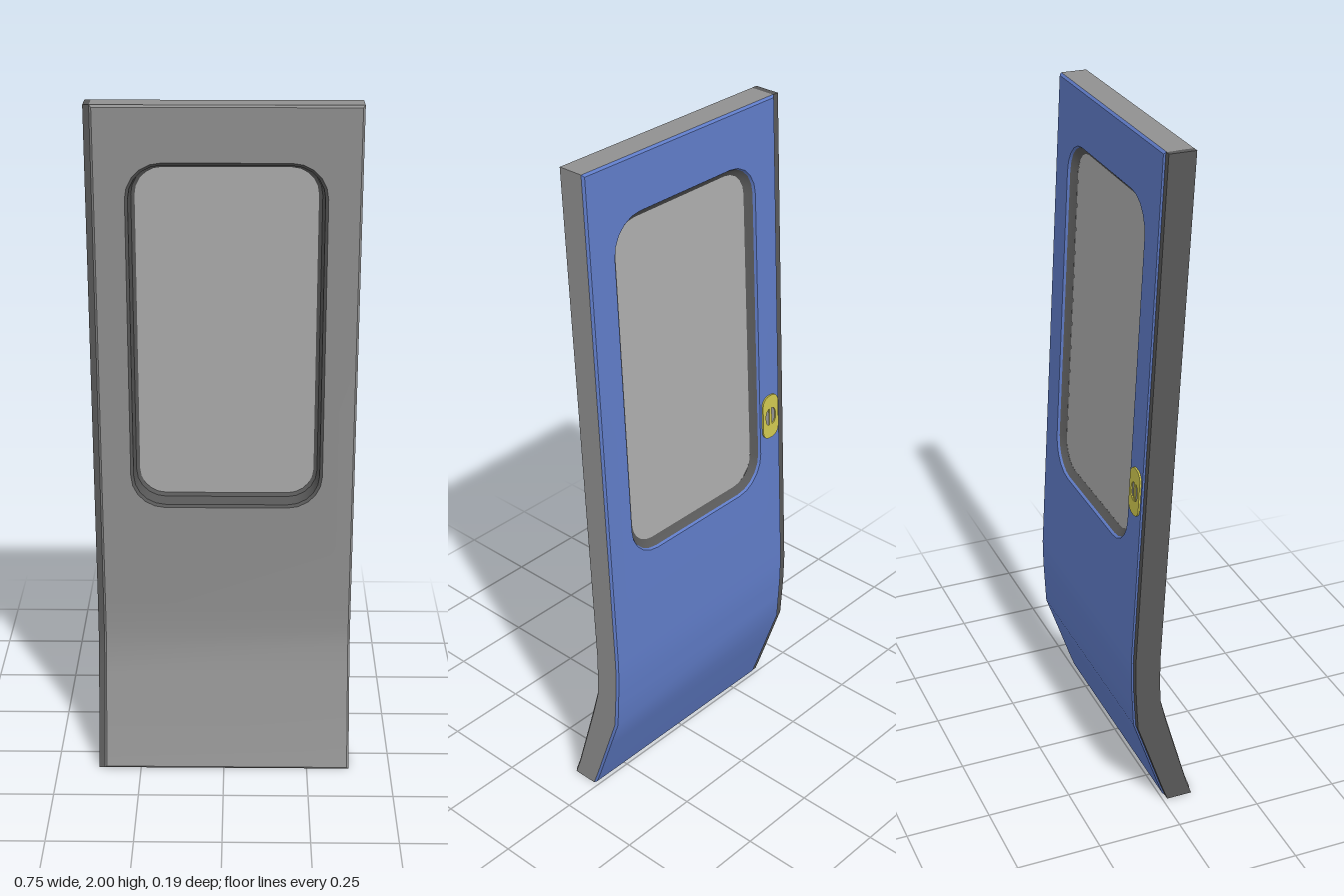
import * as THREE from 'three';
import { mergeGeometries, toCreasedNormals } from 'three/addons/utils/BufferGeometryUtils.js';

// Side profile as [y, back z, front z]; straight above y = 0.5
const PROFILE = [
  [0, 0.01, 0.098], [0.05, -0.008, 0.08], [0.18, -0.052, 0.043], [0.28, -0.086, 0.015],
  [0.36, -0.09, -0.006], [0.42, -0.093, -0.008], [0.5, -0.094, -0.008], [2, -0.014, 0.073],
];
const BEND = 0.5, TOP = 2, X0 = -0.36, X1 = 0.377, BEVEL = 0.006;
const WIN = { x: 0.007, y: 1.33, w: 0.554, h: 1.026, r: 0.1 };

// z on the bent door at height y; t = 0 is the back face, t = 1 the front face
function zAt(y, t) {
  let i = 0;
  while (i < PROFILE.length - 2 && y > PROFILE[i + 1][0]) i++;
  const a = PROFILE[i], b = PROFILE[i + 1], k = (y - a[0]) / (b[0] - a[0]);
  const back = a[1] + (b[1] - a[1]) * k, front = a[2] + (b[2] - a[2]) * k;
  return back + (front - back) * t;
}

// Counter-clockwise rounded rectangle points
function roundRect(cx, cy, w, h, r, seg = 5) {
  const pts = [];
  [[1, -1], [1, 1], [-1, 1], [-1, -1]].forEach(([sx, sy], q) => {
    for (let i = 0; i <= seg; i++) {
      const a = (q - 1 + i / seg) * Math.PI / 2;
      pts.push(new THREE.Vector2(cx + sx * (w / 2 - r) + r * Math.cos(a), cy + sy * (h / 2 - r) + r * Math.sin(a)));
    }
  });
  return pts;
}

const windowLoop = (inset) => roundRect(WIN.x, WIN.y, WIN.w - 2 * inset, WIN.h - 2 * inset, WIN.r - inset);

// Outer edge of the door, with points at every bend of the profile
function doorLoop(inset) {
  const ys = PROFILE.map((p) => Math.min(Math.max(p[0], inset), TOP - inset));
  return [
    ...ys.map((y) => new THREE.Vector2(X1 - inset, y)),
    ...ys.reverse().map((y) => new THREE.Vector2(X0 + inset, y)),
  ];
}

// Surface between successive rows of [points, t]
function loft(rows, closed = true) {
  const pos = [], idx = [], n = rows[0][0].length;
  for (const [pts, t] of rows) for (const p of pts) pos.push(p.x, p.y, zAt(p.y, t));
  for (let r = 0; r < rows.length - 1; r++) {
    for (let i = 0; i < (closed ? n : n - 1); i++) {
      const j = (i + 1) % n, a = r * n + i, b = r * n + j;
      idx.push(a, b, b + n, a, b + n, a + n);
    }
  }
  const g = new THREE.BufferGeometry();
  g.setAttribute('position', new THREE.Float32BufferAttribute(pos, 3));
  g.setIndex(idx);
  return g;
}

// Flat shape laid onto the door at depth t
function layShape(shape, t, flip) {
  const g = new THREE.ShapeGeometry(shape);
  g.deleteAttribute('normal');
  g.deleteAttribute('uv');
  const p = g.attributes.position;
  for (let i = 0; i < p.count; i++) p.setZ(i, zAt(p.getY(i), t));
  if (flip) g.setIndex([...g.index.array].reverse());
  return g;
}

// Door face: flat upper part with the window opening, and bent lower part
function skin(t) {
  const a = X0 + BEVEL, b = X1 - BEVEL, back = t === 0;
  const upper = new THREE.Shape([[a, BEND], [b, BEND], [b, TOP - BEVEL], [a, TOP - BEVEL]].map((p) => new THREE.Vector2(...p)));
  upper.holes.push(new THREE.Path(windowLoop(0)));
  const xs = back ? [b, a] : [a, b];
  const rows = PROFILE.filter((p) => p[0] <= BEND)
    .map((p) => [xs.map((x) => new THREE.Vector2(x, Math.max(p[0], BEVEL))), t]);
  return [layShape(upper, t, back), loft(rows, false)];
}

export function createModel() {
  const model = new THREE.Group();
  const mat = (color) => new THREE.MeshStandardMaterial({ color, side: THREE.DoubleSide });
  const grey = mat(0x909090), dark = mat(0x585858), paneGrey = mat(0xacacac);
  const blue = mat(0x5f7bc6), yellow = mat(0xd0c850);
  const add = (name, geometry, material, parent = model) => {
    const mesh = new THREE.Mesh(geometry, material);
    mesh.name = name;
    parent.add(mesh);
    return mesh;
  };
  const creased = (parts) => toCreasedNormals(mergeGeometries(parts.map((g) => g.toNonIndexed())), 0.5);

  // Grey inner panel with front bevel and door edges
  add('innerPanel', creased([
    ...skin(1),
    loft([[doorLoop(0), 0.07], [doorLoop(0), 0.93], [doorLoop(BEVEL), 1]]),
  ]), grey);

  // Blue outer panel with its bevel and window lip
  add('outerPanel', creased([
    ...skin(0),
    loft([[doorLoop(BEVEL), 0], [doorLoop(0), 0.07]]),
    loft([[windowLoop(0.004), 0.08], [windowLoop(0), 0]]),
  ]), blue);

  // Dark window surround on the inner and outer sides, and the pane
  add('windowSurround', creased([
    loft([[windowLoop(0), 1], [windowLoop(0.008), 0.93], [windowLoop(0.014), 0.36], [windowLoop(0.024), 0.28]]),
    loft([[windowLoop(0.024), 0.26], [windowLoop(0.013), 0.18], [windowLoop(0.004), 0.08]]),
  ]), dark);
  add('windowPane', creased([layShape(new THREE.Shape(windowLoop(0.023)), 0.27, false)]), paneGrey);

  // Narrow dark strip along the closing edge
  const side = [
    ...PROFILE.map((p) => new THREE.Vector2(zAt(p[0], 0.93), p[0])),
    ...[...PROFILE].reverse().map((p) => new THREE.Vector2(zAt(p[0], 0.05), p[0])),
  ];
  const strip = new THREE.ExtrudeGeometry(new THREE.Shape(side), { depth: 0.019, bevelEnabled: false });
  strip.rotateY(-Math.PI / 2).translate(-0.358, 0, 0);
  add('edgeStrip', toCreasedNormals(strip, 0.5), dark);

  // Handle set on the outer panel
  const handle = new THREE.Group();
  handle.name = 'handle';
  handle.position.set(-0.313, 1.028, zAt(1.028, 0));
  handle.rotation.set(0.053, Math.PI, 0);
  model.add(handle);
  const plate = new THREE.Shape(roundRect(0, 0, 0.068, 0.14, 0.028));
  plate.holes.push(new THREE.Path(roundRect(0, 0, 0.042, 0.056, 0.02)));
  add('handlePlate', new THREE.ExtrudeGeometry(plate, { depth: 0.005, bevelEnabled: false }), yellow, handle);
  add('handleDish', new THREE.ShapeGeometry(new THREE.Shape(roundRect(0, 0, 0.046, 0.06, 0.022))), grey, handle)
    .position.z = 0.0015;
  add('handleGrip', new THREE.BoxGeometry(0.01, 0.058, 0.003), yellow, handle).position.z = 0.003;

  return model;
}
